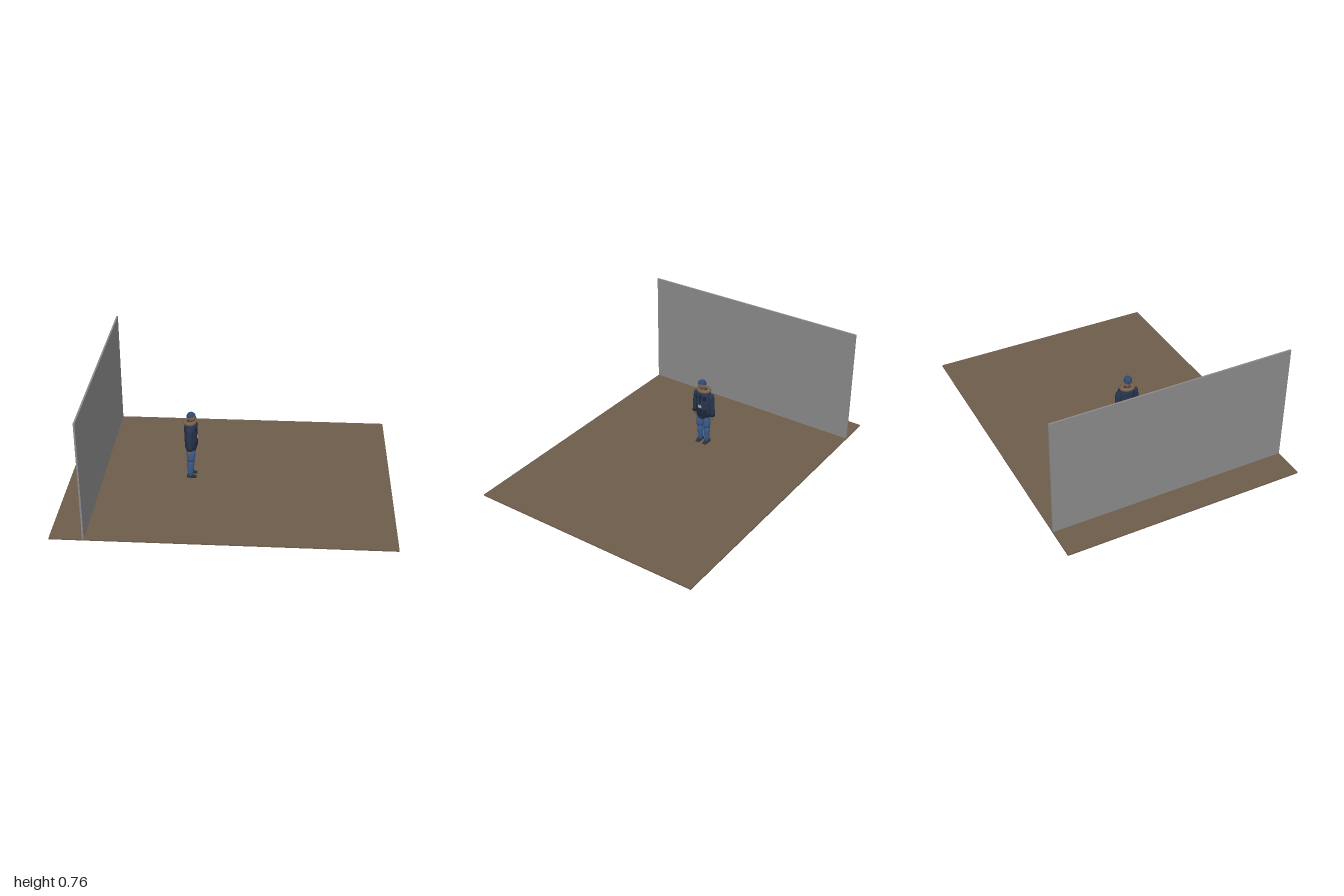
import * as THREE from 'three';

const mat = (name, color) => {
  const m = new THREE.MeshStandardMaterial({ color });
  m.name = name;
  return m;
};

export function createModel() {
  const M = {
    floor: mat('earth brown', 0x6d5c4b),
    wall: mat('wall grey', 0x8a8a8a),
    jacket: mat('navy', 0x26344c),
    trim: mat('dark navy', 0x1b2536),
    denim: mat('denim blue', 0x3b5888),
    cap: mat('cap blue', 0x30486f),
    skin: mat('skin', 0x7d6350),
    fur: mat('fur brown', 0x78614c),
    shoe: mat('shoe dark', 0x2a2d33),
    badge: mat('badge grey', 0x9aa0a6),
  };
  const root = new THREE.Group();

  const add = (parent, name, geo, material, x, y, z) => {
    const mesh = new THREE.Mesh(geo, material);
    mesh.name = name;
    mesh.position.set(x, y, z);
    parent.add(mesh);
    return mesh;
  };
  const box = (p, name, m, w, h, d, x, y, z) =>
    add(p, name, new THREE.BoxGeometry(w, h, d), m, x, y, z);
  // Turned profile [radius, height], squashed to an oval: sx along x, sz along z
  const oval = (p, name, m, profile, sx, sz, x, z, sides = 20) => {
    const pts = profile.map(([r, y]) => new THREE.Vector2(r, y));
    const mesh = add(p, name, new THREE.LatheGeometry(pts, sides), m, x, 0, z);
    mesh.scale.set(sx, 1, sz);
    return mesh;
  };
  const ball = (p, name, m, rx, ry, rz, x, y, z) => {
    const mesh = add(p, name, new THREE.SphereGeometry(1, 20, 14), m, x, y, z);
    mesh.scale.set(rx, ry, rz);
    return mesh;
  };

  // Ground slab and upright wall
  box(root, 'floor', M.floor, 2, 0.008, 1.5, 0, 0.004, 0);
  box(root, 'wall', M.wall, 0.01, 0.755, 1.5, -0.8, 0.3825, 0);

  // Standing figure facing +x
  const person = new THREE.Group();
  person.name = 'person';
  person.position.x = -0.246;
  root.add(person);

  // Padded jacket with a waistband and hem
  oval(person, 'jacketBody', M.jacket,
    [[0, 0.222], [0.86, 0.222], [0.94, 0.24], [1, 0.3], [0.98, 0.35], [0.86, 0.378], [0.5, 0.392], [0, 0.395]],
    0.041, 0.054, 0, 0);
  oval(person, 'waistband', M.trim, [[0, 0.212], [1, 0.212], [1.03, 0.218], [1, 0.228], [0, 0.228]],
    0.036, 0.049, 0, 0);
  oval(person, 'hips', M.jacket, [[0, 0.192], [0.95, 0.192], [1, 0.214], [0, 0.214]], 0.033, 0.046, 0, 0);

  // Fur collar around the neck
  const collar = add(person, 'furCollar', new THREE.TorusGeometry(0.029, 0.012, 10, 24), M.fur, -0.005, 0.388, 0.002);
  collar.rotation.set(Math.PI / 2, -0.08, 0);
  collar.scale.set(1, 1.2, 1);
  oval(person, 'neck', M.skin, [[0, 0.385], [0.015, 0.385], [0.014, 0.415], [0, 0.415]], 1, 1, 0.002, 0.005, 14);

  // Head, turned slightly, with a knitted cap
  const head = new THREE.Group();
  head.name = 'head';
  head.position.set(0.008, 0.427, 0.011);
  head.rotation.y = -0.2;
  person.add(head);
  ball(head, 'face', M.skin, 0.026, 0.031, 0.023, 0, -0.001, 0);
  box(head, 'nose', M.skin, 0.008, 0.009, 0.006, 0.026, -0.004, 0);
  const cap = add(head, 'cap', new THREE.SphereGeometry(1, 20, 8, 0, Math.PI * 2, 0, Math.PI * 0.5), M.cap, -0.003, 0.004, 0);
  cap.scale.set(0.028, 0.028, 0.0255);
  cap.rotation.z = 0.3;
  for (const s of [-1, 1]) {
    ball(head, 'ear', M.skin, 0.005, 0.008, 0.004, -0.002, -0.004, s * 0.023);
    box(head, 'eye', M.shoe, 0.002, 0.003, 0.005, 0.0245, 0.002, s * 0.008);
  }

  // Jacket front: placket, straps, chest pockets and badge
  box(person, 'placket', M.trim, 0.005, 0.14, 0.022, 0.0395, 0.299, 0);
  box(person, 'badge', M.badge, 0.004, 0.02, 0.022, 0.0425, 0.287, 0.001);
  for (const s of [-1, 1]) {
    const strap = box(person, 'strap', M.cap, 0.004, 0.072, 0.004, 0.041, 0.336, s * 0.012);
    strap.rotation.x = s * 0.18;
    box(person, 'chestPocket', M.trim, 0.01, 0.026, 0.02, 0.035, 0.348, s * 0.028);
    box(person, 'sidePocket', M.trim, 0.008, 0.03, 0.02, 0.032, 0.25, s * 0.03);
  }

  for (const s of [-1, 1]) {
    // Arm hanging at the side, with cuff and hand
    const arm = new THREE.Group();
    arm.name = s < 0 ? 'leftArm' : 'rightArm';
    arm.position.set(-0.002, 0.37, s * 0.054);
    arm.rotation.x = -s * 0.09;
    person.add(arm);
    oval(arm, 'sleeve', M.jacket,
      [[0.7, -0.145], [0.88, -0.13], [0.9, -0.085], [1, -0.07], [1.05, -0.03], [0.85, -0.005], [0, 0.008]],
      0.02, 0.0175, 0, 0, 16);
    oval(arm, 'cuff', M.trim, [[0, -0.152], [0.95, -0.152], [1, -0.145], [0.95, -0.136], [0, -0.136]],
      0.018, 0.015, 0, 0, 16);
    ball(arm, 'hand', M.skin, 0.011, 0.018, 0.007, 0.002, -0.162, 0);

    // Leg with wide thigh, narrower shin and shoe
    const leg = new THREE.Group();
    leg.name = s < 0 ? 'leftLeg' : 'rightLeg';
    leg.position.z = s * 0.026;
    person.add(leg);
    oval(leg, 'thigh', M.denim, [[0, 0.126], [0.86, 0.126], [0.92, 0.14], [1, 0.2], [0, 0.205]],
      0.027, 0.0235, 0, 0, 16);
    oval(leg, 'shin', M.denim, [[0, 0.016], [0.85, 0.016], [0.85, 0.05], [1, 0.09], [1, 0.13], [0, 0.13]],
      0.021, 0.0185, -0.004, -s * 0.001, 16);
    const sole = new THREE.Shape();
    sole.moveTo(-0.027, 0);
    sole.lineTo(0.034, 0);
    sole.quadraticCurveTo(0.038, 0.012, 0.02, 0.015);
    sole.lineTo(0.008, 0.024);
    sole.lineTo(-0.025, 0.024);
    const shoe = new THREE.ExtrudeGeometry(sole, { depth: 0.028, bevelEnabled: false, curveSegments: 5 });
    shoe.translate(0, 0, -0.014);
    add(leg, 'shoe', shoe, M.shoe, 0, 0, 0);
  }
  return root;
}
